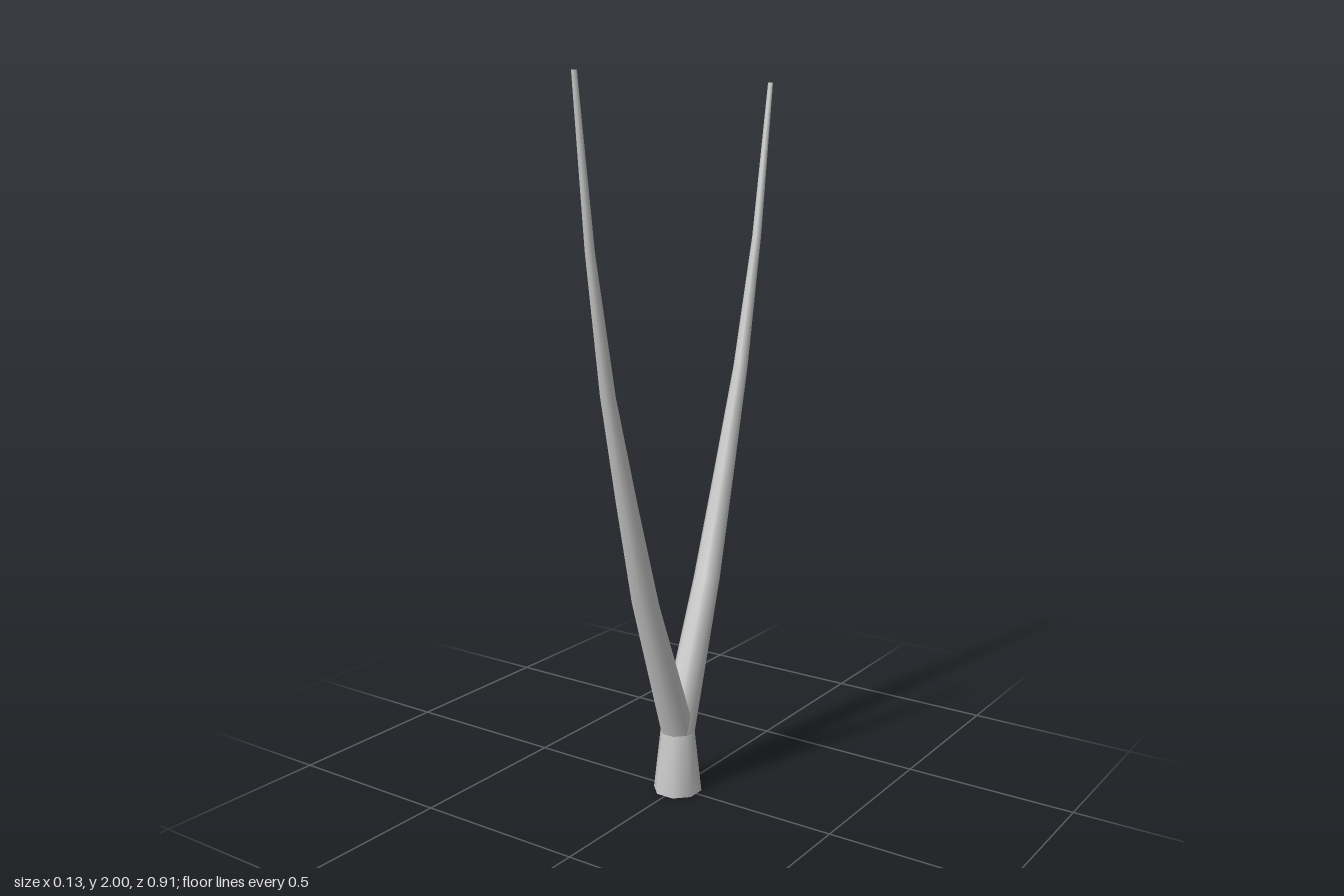
import * as THREE from 'three';

const SIDES = 8;
const material = new THREE.MeshStandardMaterial({ color: 0xcccccc, side: THREE.DoubleSide });

// Skin through horizontal octagonal rings, each [x, y, z, half width in x, half width in z]
function loft(rings) {
  const pos = [], index = [];
  const flat = Math.cos(Math.PI / SIDES);
  for (const [x, y, z, rx, rz] of rings) {
    for (let i = 0; i < SIDES; i++) {
      const a = ((i + 0.5) / SIDES) * Math.PI * 2;
      pos.push(x + (Math.cos(a) * rx) / flat, y, z + (Math.sin(a) * rz) / flat);
    }
  }
  for (let r = 0; r < rings.length - 1; r++) {
    for (let i = 0; i < SIDES; i++) {
      const a = r * SIDES + i, b = r * SIDES + ((i + 1) % SIDES);
      index.push(a, a + SIDES, b, b, a + SIDES, b + SIDES);
    }
  }
  const geo = new THREE.BufferGeometry();
  geo.setAttribute('position', new THREE.Float32BufferAttribute(pos, 3));
  geo.setIndex(index);
  geo.computeVertexNormals();
  return geo;
}

function addMesh(parent, name, geometry) {
  const mesh = new THREE.Mesh(geometry, material);
  mesh.name = name;
  parent.add(mesh);
  return mesh;
}

export function createModel() {
  const model = new THREE.Group();
  model.name = 'forkedStem';

  // Flared foot, open underneath
  addMesh(model, 'base', loft([
    [0, 0, 0, 0.065, 0.065],
    [0, 0.18, 0, 0.046, 0.048],
  ]));

  // Curved tapering prong: y, z, x, half width in x, half width in z
  const prong = [
    [0.18, 0, 0, 0.046, 0.048],
    [0.6, 0.152, -0.002, 0.035, 0.037],
    [0.9, 0.237, 0, 0.027, 0.028],
    [1.2, 0.318, 0.003, 0.019, 0.02],
    [1.57, 0.391, 0.008, 0.012, 0.012],
    [2, 0.449, 0.013, 0.007, 0.006],
  ];

  // The two prongs mirror each other front to back and cross at the fork
  for (const [side, name] of [[1, 'front'], [-1, 'back']]) {
    const rings = prong.map(([y, z, x, rx, rz]) => [x, y, z * side, rx, rz]);
    addMesh(model, name + 'Prong', loft(rings));

    // Flat end of the prong
    const [x, y, z, rx, rz] = rings[rings.length - 1];
    const flat = Math.cos(Math.PI / SIDES);
    const tip = addMesh(model, name + 'Tip', new THREE.CircleGeometry(1 / flat, SIDES, Math.PI / SIDES));
    tip.rotation.x = -Math.PI / 2;
    tip.scale.set(rx, rz, 1);
    tip.position.set(x, y, z);
  }

  return model;
}
